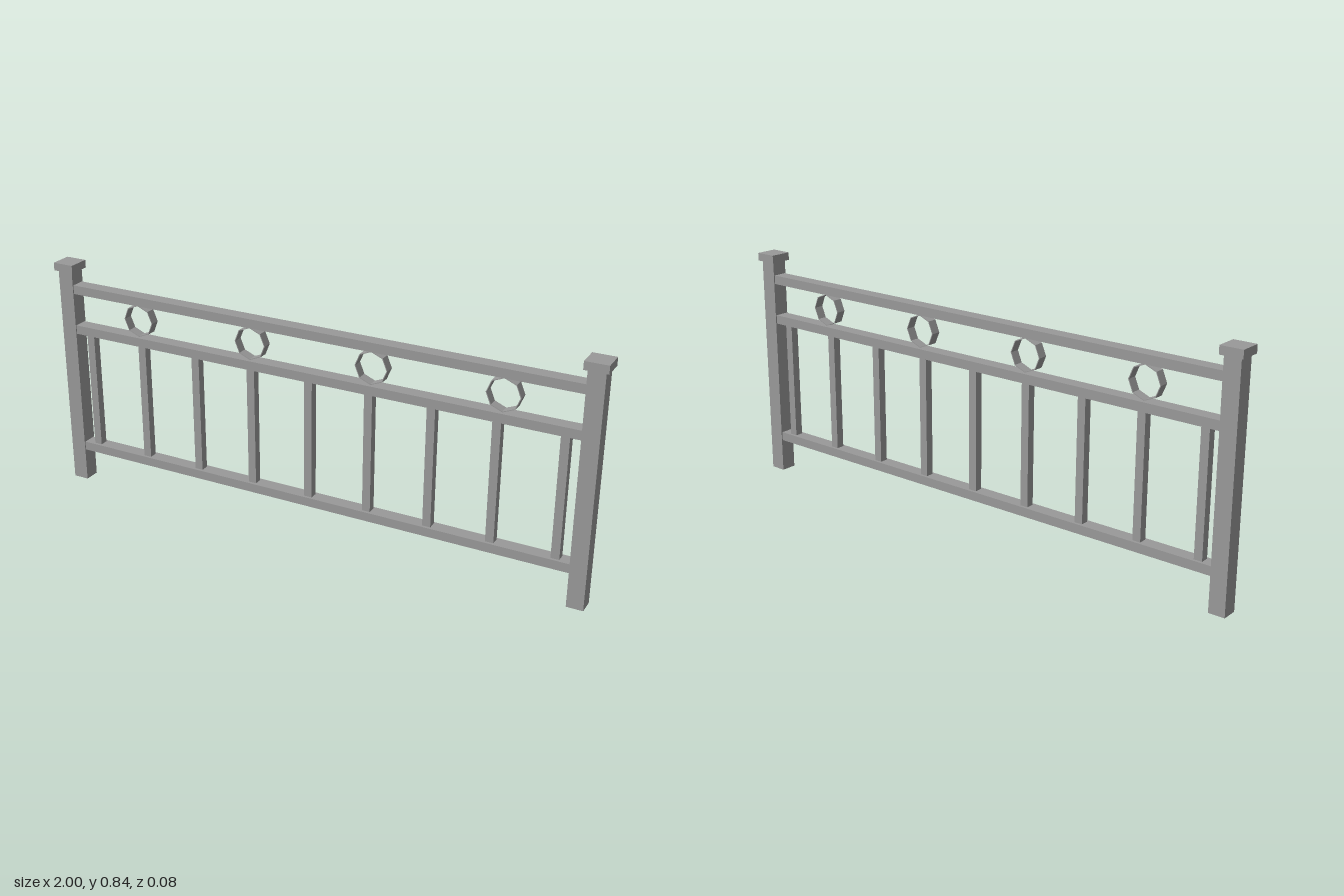
import * as THREE from 'three';

const material = new THREE.MeshStandardMaterial({ color: 0x999999, flatShading: true, side: THREE.DoubleSide });

// Regular eight-sided outline with corners on the axes
const octagon = (radius) => Array.from({ length: 8 }, (_, i) =>
  new THREE.Vector2(radius * Math.cos(i * Math.PI / 4), radius * Math.sin(i * Math.PI / 4)));

// Thin-walled eight-sided ring, centred in depth
function ringGeometry(outer, inner, depth) {
  const shape = new THREE.Shape(octagon(outer));
  shape.holes.push(new THREE.Path(octagon(inner).reverse()));
  return new THREE.ExtrudeGeometry(shape, { depth, bevelEnabled: false }).translate(0, 0, -depth / 2);
}

export function createModel() {
  const fence = new THREE.Group();
  fence.name = 'fencePanel';

  const add = (name, geometry, x, y) => {
    const mesh = new THREE.Mesh(geometry, material);
    mesh.name = name;
    mesh.position.set(x, y, 0);
    fence.add(mesh);
  };

  // Hollow square tube, open at both ends
  const squareTube = (width, height) =>
    new THREE.CylinderGeometry(width / Math.SQRT2, width / Math.SQRT2, height, 4, 1, true).rotateY(Math.PI / 4);

  // End posts with flat caps
  for (const [side, s] of [['left', 1], ['right', -1]]) {
    add(side + 'Post', squareTube(0.057, 0.81), s * 0.961, 0.405);
    add(side + 'PostCap', new THREE.BoxGeometry(0.078, 0.028, 0.078), s * 0.961, 0.824);
  }

  // Horizontal rails between the posts
  const rails = { topRail: 0.745, middleRail: 0.595, bottomRail: 0.136 };
  for (const [name, y] of Object.entries(rails)) {
    add(name, new THREE.BoxGeometry(1.866, 0.032, 0.049), 0, y);
  }

  // Upright balusters between the middle and bottom rails
  for (let i = 0; i < 9; i++) {
    add('baluster' + (i + 1), new THREE.BoxGeometry(0.029, 0.432, 0.029), (i - 4) * 0.22, 0.366);
  }

  // Rings between the upper rails
  const ring = ringGeometry(0.058, 0.055, 0.034);
  for (let i = 0; i < 4; i++) {
    add('ring' + (i + 1), ring, 0.005 + (i - 1.5) * 0.448, 0.671);
  }

  return fence;
}
